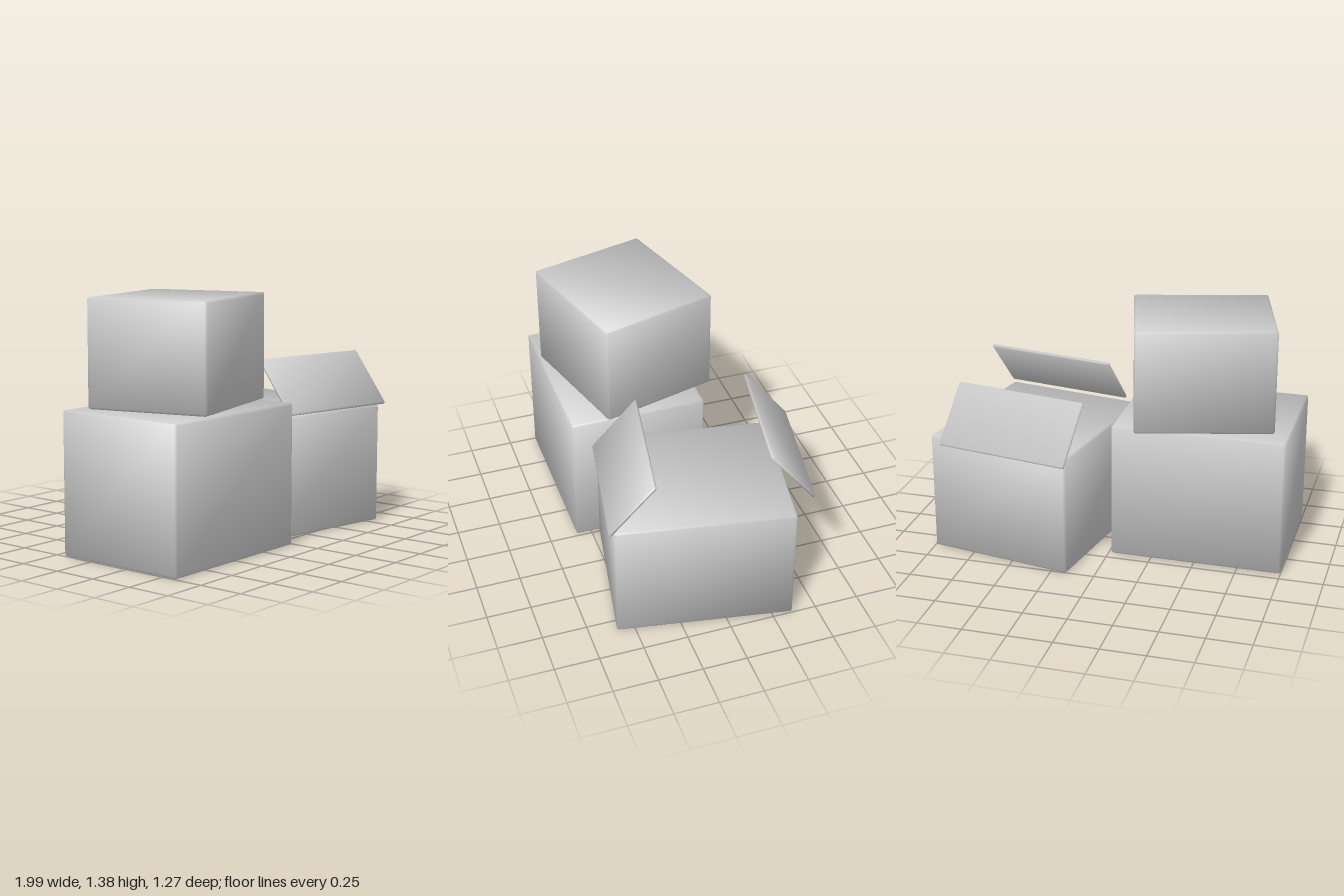
import * as THREE from 'three';
import { RoundedBoxGeometry } from 'three/addons/geometries/RoundedBoxGeometry.js';

const cardboard = new THREE.MeshStandardMaterial({ color: 0xcccccc });
cardboard.name = 'plain grey';

const rad = THREE.MathUtils.degToRad;

// Bevelled box whose normals are softened across its edges
function softBox(name, size, position, turn = 0, tilt = 0, bevel = 0.012) {
  const geometry = new RoundedBoxGeometry(...size, 1, bevel);
  const p = geometry.attributes.position;
  const n = geometry.attributes.normal;
  const v = new THREE.Vector3();
  for (let i = 0; i < p.count; i++) {
    v.set(
      n.getX(i) + Math.sign(p.getX(i)),
      n.getY(i) + Math.sign(p.getY(i)),
      n.getZ(i) + Math.sign(p.getZ(i))
    ).normalize();
    n.setXYZ(i, v.x, v.y, v.z);
  }
  const mesh = new THREE.Mesh(geometry, cardboard);
  mesh.name = name;
  mesh.position.set(...position);
  mesh.rotation.set(rad(tilt), rad(turn), 0, 'YXZ');
  return mesh;
}

export function createModel() {
  const model = new THREE.Group();
  model.name = 'stackedBoxes';

  // Two boxes stacked on one side
  model.add(softBox('lowerBox', [0.985, 0.79, 0.785], [-0.507, 0.395, 0.197]));
  model.add(softBox('upperBox', [0.775, 0.59, 0.69], [-0.456, 1.09, 0.145], 15));

  // Turned box with two leaning lid flaps
  model.add(softBox('openBox', [0.85, 0.69, 0.977], [0.494, 0.345, 0.045], -10));
  for (const [name, side] of [['frontFlap', 1], ['backFlap', -1]]) {
    model.add(softBox(name, [0.775, 0.02, 0.382], [0.485, 0.845, side * 0.446 - 0.004], -10, side * 50, 0.008));
  }
  return model;
}
